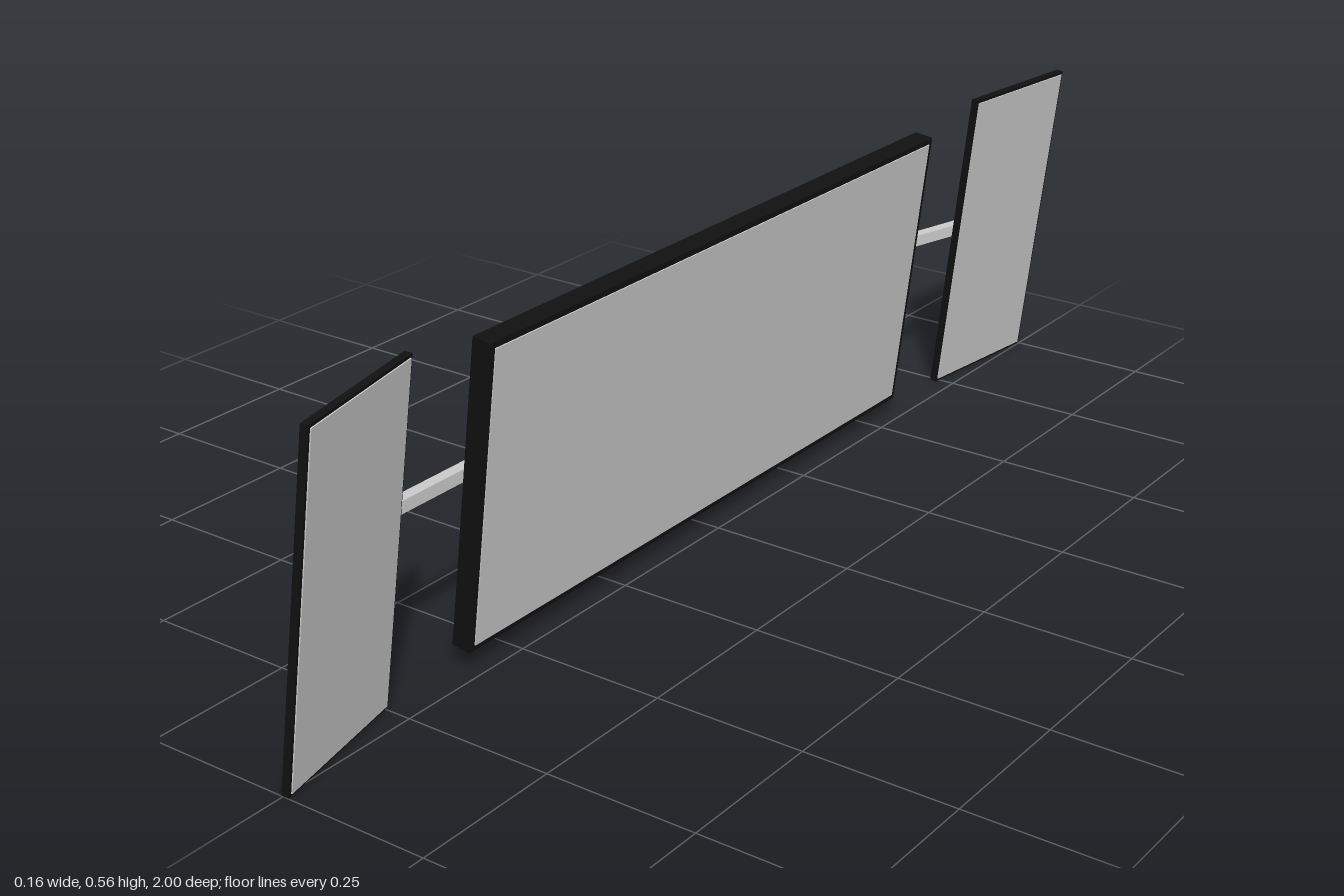
import * as THREE from 'three';

const grey = new THREE.MeshStandardMaterial({ color: 0xcccccc, flatShading: true });
const black = new THREE.MeshStandardMaterial({ color: 0x111111 });

function box(name, size, position, material) {
  const mesh = new THREE.Mesh(new THREE.BoxGeometry(...size), material);
  mesh.name = name;
  mesh.position.set(...position);
  return mesh;
}

// A black panel facing +x with a grey display, leaning forward and turned by yaw
function monitor(name, { depth, height, width, border, position, yaw }) {
  const group = new THREE.Group();
  group.name = name;
  group.add(box('casing', [depth, height, width], [0, 0, 0], black));
  group.add(box('display', [0.004, height - 2 * border, width - 2 * border], [depth / 2, 0, 0], grey));
  group.position.set(...position);
  group.rotation.set(0, THREE.MathUtils.degToRad(yaw), THREE.MathUtils.degToRad(-7.2), 'YXZ');
  return group;
}

// Square bar swept along a path, with mitred bends
function squareBar(points, half) {
  const positions = [];
  const indices = [];
  points.forEach((p, i) => {
    const before = points[Math.max(i - 1, 0)];
    const after = points[Math.min(i + 1, points.length - 1)];
    const dir = after.clone().sub(before).setY(0).normalize();
    const side = new THREE.Vector3(dir.z, 0, -dir.x);
    for (const [s, u] of [[-1, -1], [1, -1], [1, 1], [-1, 1]]) {
      positions.push(p.x + side.x * s * half, p.y + u * half, p.z + side.z * s * half);
    }
    if (i === 0) return;
    const b = i * 4;
    const a = b - 4;
    for (let k = 0; k < 4; k++) {
      const n = (k + 1) % 4;
      indices.push(a + k, a + n, b + n, a + k, b + n, b + k);
    }
  });
  const e = (points.length - 1) * 4;
  indices.push(0, 2, 1, 0, 3, 2, e, e + 1, e + 2, e, e + 2, e + 3);
  const geometry = new THREE.BufferGeometry();
  geometry.setAttribute('position', new THREE.Float32BufferAttribute(positions, 3));
  geometry.setIndex(indices);
  const flat = geometry.toNonIndexed();
  flat.computeVertexNormals();
  return flat;
}

export function createModel() {
  const model = new THREE.Group();
  model.name = 'tripleMonitor';

  // Wide middle screen and two slimmer wings
  model.add(monitor('centreMonitor', {
    depth: 0.033, height: 0.505, width: 1.165, border: 0.01, position: [-0.003, 0.283, 0.015], yaw: 0,
  }));
  const wing = { depth: 0.012, height: 0.56, width: 0.261, border: 0.005 };
  model.add(monitor('frontWing', { ...wing, position: [0.01, 0.279, 0.865], yaw: 12.5 }));
  model.add(monitor('backWing', { ...wing, position: [0.0125, 0.279, -0.865], yaw: -6.5 }));

  // Bent arm running behind all the screens
  const path = [
    [0, 0.295, -0.905], [-0.028, 0.291, -0.79], [-0.071, 0.285, -0.68],
    [-0.071, 0.285, 0.695], [-0.042, 0.289, 0.775], [0, 0.295, 0.93],
  ].map((p) => new THREE.Vector3(...p));
  const arm = new THREE.Mesh(squareBar(path, 0.01), grey);
  arm.name = 'supportArm';
  model.add(arm);

  // Plate joining the arm to the middle screen
  model.add(box('mountPlate', [0.066, 0.021, 0.22], [-0.047, 0.2865, 0.01], grey));

  return model;
}
